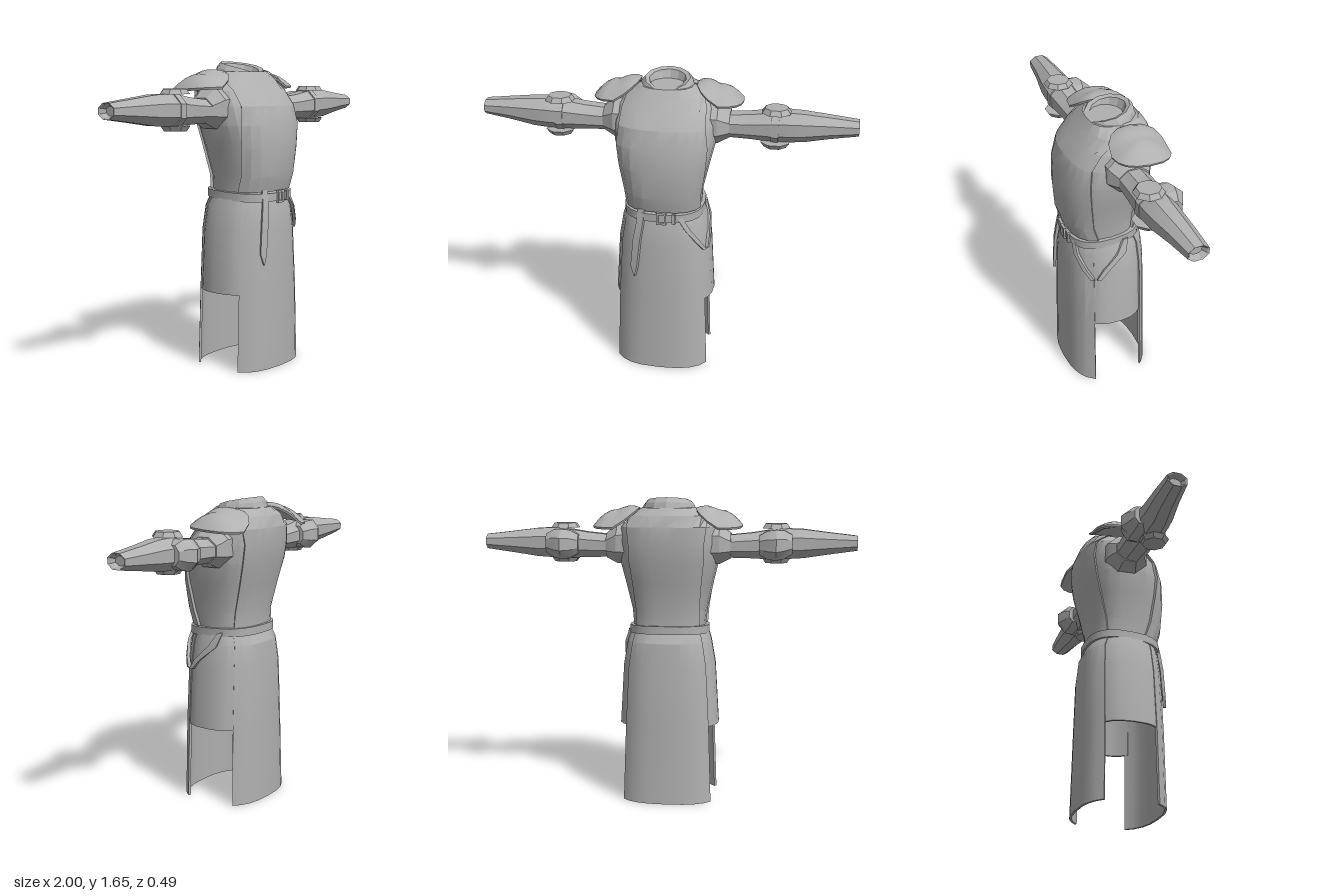
import * as THREE from 'three';
import { toCreasedNormals } from 'three/addons/utils/BufferGeometryUtils.js';

const V = (x, y, z) => new THREE.Vector3(x, y, z);
const rad = THREE.MathUtils.degToRad;
const spow = (v, e) => Math.sign(v) * Math.pow(Math.abs(v), e);

// Skin over a stack of closed loops (even point count), capped at both ends
function loft(rings, crease = 0.35) {
  const pos = [], n = rings[0].length;
  const tri = (...p) => p.forEach(q => pos.push(q.x, q.y, q.z));
  const quad = (a, b, c, d) => { tri(a, b, c); tri(a, c, d); };
  for (let i = 0; i + 1 < rings.length; i++)
    for (let j = 0; j < n; j++) {
      const k = (j + 1) % n;
      quad(rings[i][j], rings[i][k], rings[i + 1][k], rings[i + 1][j]);
    }
  const a = rings[0], b = rings[rings.length - 1];
  for (let j = 0; j < n / 2 - 1; j++) {
    quad(a[n - 1 - j], a[n - 2 - j], a[j + 1], a[j]);
    quad(b[j], b[j + 1], b[n - 2 - j], b[n - 1 - j]);
  }
  const g = new THREE.BufferGeometry();
  g.setAttribute('position', new THREE.Float32BufferAttribute(pos, 3));
  return toCreasedNormals(g, crease);
}

// Linear lookup in a table whose first column is the key
function sample(table, key) {
  let i = 0;
  while (i < table.length - 2 && key > table[i + 1][0]) i++;
  const t = THREE.MathUtils.clamp((key - table[i][0]) / (table[i + 1][0] - table[i][0]), 0, 1);
  return table[i].map((v, k) => v + (table[i + 1][k] - v) * t);
}

// Point on a rounded-box body section; angle 0 is the front, 90 is +x
function onBody(table, deg, y, off = 0) {
  const [, rx, zf, zb] = sample(table, y), t = rad(deg);
  return V((rx + off) * spow(Math.sin(t), 0.75), y,
    (zf + zb) / 2 + ((zf - zb) / 2 + off) * spow(Math.cos(t), 0.75));
}

// Body tables: y, half width, front z, back z
const TORSO = [[0.965, 0.208, 0.212, -0.16], [1.05, 0.216, 0.238, -0.162], [1.2, 0.25, 0.246, -0.195],
  [1.32, 0.279, 0.237, -0.223], [1.42, 0.282, 0.207, -0.236], [1.5, 0.265, 0.148, -0.236],
  [1.56, 0.21, 0.105, -0.215], [1.6, 0.14, 0.08, -0.18]];
const SKIRT = [[0, 0.282, 0.242, -0.222], [0.42, 0.266, 0.238, -0.214], [0.75, 0.246, 0.23, -0.208],
  [0.88, 0.223, 0.22, -0.195], [0.95, 0.202, 0.2, -0.16]];
// The side skirts stand wider but tuck in behind the long panels
const SIDE = SKIRT.map(([y, rx, zf, zb]) => [y, rx + 0.008, zf - 0.024, zb + 0.024]);
// Half angle covered at each height by the chest panel and the back panel
const SPREAD = [[0.965, 72, 50], [1.05, 69, 46], [1.2, 62, 41], [1.32, 54, 39],
  [1.42, 48, 39], [1.5, 51, 47], [1.56, 75, 75], [1.6, 89, 89]];

const fullRing = (table, y, off, n = 24) =>
  Array.from({ length: n }, (_, i) => onBody(table, i * 360 / n, y, off));

// Thick curved cloth covering mid - half(y) .. mid + half(y) degrees
function cloth(table, ys, mid, half, off, thick, n = 8) {
  return loft(ys.map(y => {
    const h = half(y), outer = [], inner = [];
    for (let i = 0; i <= n; i++) {
      const d = mid - h + 2 * h * i / n;
      outer.push(onBody(table, d, y, off));
      inner.unshift(onBody(table, d, y, off - thick));
    }
    return [...outer, ...inner];
  }));
}

// Leather strip lying on the skirt; path rows: angle, y, half width in degrees
const strip = path => loft(path.map(([d, y, w]) => [
  onBody(SKIRT, d - w, y, 0.02), onBody(SKIRT, d + w, y, 0.02),
  onBody(SKIRT, d + w, y, 0.004), onBody(SKIRT, d - w, y, 0.004)]));

// Tube along x; rows: x, centre y, half height, centre z, half depth
const limb = (rows, n = 8) => loft(rows.map(([x, cy, ry, cz, rz]) =>
  Array.from({ length: n }, (_, i) => {
    const a = (i + 0.5) * 2 * Math.PI / n;
    return V(x, cy + ry * Math.cos(a) / Math.cos(Math.PI / n), cz + rz * Math.sin(a) / Math.cos(Math.PI / n));
  })));

function mirrored(geo) {
  const g = geo.index ? geo.toNonIndexed() : geo.clone();
  for (const name of ['position', 'normal']) {
    const a = g.attributes[name];
    for (let i = 0; i < a.count; i += 3) {
      const p = [0, 2, 1].map(k => V().fromBufferAttribute(a, i + k));
      p.forEach((q, k) => a.setXYZ(i + k, -q.x, q.y, q.z));
    }
  }
  return g;
}

// Domed shoulder plate whose inner rim climbs towards the neck
function pauldron() {
  const ring = (r, drop) => Array.from({ length: 16 }, (_, i) => {
    const t = i * Math.PI / 8;
    const u = r * spow(Math.sin(t), 0.8), v = r * spow(Math.cos(t), 0.8);
    return V(0.275 + 0.124 * u, 1.51 + 0.1 * Math.max(0, -u - 0.1) + 0.08 * (1 - r * r) + 0.01 * v - drop,
      -0.09 + 0.155 * v);
  });
  return loft([ring(0.02, 0.016), ring(0.5, 0.016), ring(0.97, 0.016), ring(1, 0),
    ring(0.8, 0), ring(0.55, 0), ring(0.28, 0), ring(0.02, 0)], 0.5);
}

// Standing collar, dipping at the front, with a closed bowl inside
function collar() {
  const ring = (rx, zf, zb, yf, yb) => Array.from({ length: 12 }, (_, i) => {
    const t = i * Math.PI / 6;
    return V(rx * spow(Math.sin(t), 1.1), yf + (yb - yf) * Math.pow((1 - Math.cos(t)) / 2, 0.5),
      (zf + zb) / 2 + (zf - zb) / 2 * Math.cos(t));
  });
  return loft([ring(0.15, 0.112, -0.185, 1.535, 1.59), ring(0.138, 0.1, -0.172, 1.565, 1.63),
    ring(0.12, 0.088, -0.15, 1.582, 1.655), ring(0.098, 0.062, -0.13, 1.58, 1.645),
    ring(0.08, 0.04, -0.11, 1.54, 1.59), ring(0.02, 0, -0.06, 1.5, 1.52)]);
}

export function createModel() {
  const model = new THREE.Group();
  const grey = new THREE.MeshStandardMaterial({ color: 0xb0b0b0, side: THREE.DoubleSide });
  grey.name = 'plainGrey';
  const add = (name, geo) => {
    const m = new THREE.Mesh(geo, grey);
    m.name = name;
    model.add(m);
  };
  const addPair = (name, geo) => {
    add('left' + name, geo);
    add('right' + name, mirrored(geo));
  };

  // Body and the panels worn over it
  const ys = TORSO.map(r => r[0]);
  add('torso', loft(ys.map(y => fullRing(TORSO, y, -0.01))));
  add('chestPanel', cloth(TORSO, ys, 0, y => sample(SPREAD, y)[1], 0.003, 0.02));
  add('backPanel', cloth(TORSO, ys, 180, y => sample(SPREAD, y)[2], 0.003, 0.02));
  add('collar', collar());

  // Skirt
  const longYs = SKIRT.map(r => r[0]);
  add('frontSkirt', cloth(SKIRT, longYs, 0, () => 61, 0, 0.012));
  add('backSkirt', cloth(SKIRT, longYs, 180, () => 54, 0, 0.012));
  addPair('SideSkirt', cloth(SIDE, longYs.slice(1), 92, () => 42, 0, 0.012, 6));

  // Belt, sitting a little lower at the front
  const tilt = ring => ring.map(p => V(p.x, p.y - 0.04 * p.z, p.z));
  const BELT = [[0.9, 0.203, 0.212, -0.168], [1, 0.203, 0.212, -0.168]];
  add('belt', loft([[0.922, -0.012], [0.922, 0.014], [0.966, 0.014], [0.966, -0.012]]
    .map(([y, o]) => tilt(fullRing(BELT, y, o)))));
  const frame = new THREE.Shape([[-0.026, -0.034], [0.026, -0.034], [0.026, 0.034], [-0.026, 0.034]]
    .map(p => new THREE.Vector2(...p)));
  frame.holes.push(new THREE.Path([[-0.015, -0.022], [-0.015, 0.022], [0.015, 0.022], [0.015, -0.022]]
    .map(p => new THREE.Vector2(...p))));
  add('buckle', new THREE.ExtrudeGeometry(frame, { depth: 0.014, bevelEnabled: false })
    .translate(0.01, 0.936, 0.22));
  add('beltLoop', new THREE.BoxGeometry(0.018, 0.056, 0.016).translate(0.075, 0.936, 0.222));

  // Hanging straps
  add('beltTail', strip([[-24, 0.58, 0.4], [-25, 0.64, 4.5], [-23, 0.8, 5], [-21, 0.9, 5], [-21, 0.975, 5]]));
  add('frontHanger', strip([[60, 0.735, 3], [48, 0.79, 4], [32, 0.87, 4], [21, 0.945, 4]]));
  add('sideHanger', strip([[69, 0.735, 3], [79, 0.79, 4], [94, 0.87, 4], [104, 0.945, 4]]));

  // Arms, with a shallow hollow at the wrist
  addPair('Sleeve', limb([[0.2, 1.4, 0.08, -0.035, 0.08], [0.32, 1.395, 0.06, -0.03, 0.078],
    [0.45, 1.4, 0.068, -0.025, 0.08], [0.54, 1.405, 0.078, -0.022, 0.085],
    [0.64, 1.41, 0.08, -0.02, 0.085], [0.72, 1.411, 0.076, -0.02, 0.078],
    [0.85, 1.413, 0.058, -0.03, 0.066], [1, 1.415, 0.039, -0.035, 0.054],
    [0.995, 1.415, 0.033, -0.035, 0.046], [0.97, 1.415, 0.022, -0.035, 0.03]]));
  addPair('ShoulderCuff', limb([[0.2, 1.41, 0.11, -0.03, 0.115], [0.275, 1.41, 0.108, -0.03, 0.115],
    [0.305, 1.403, 0.086, -0.033, 0.1], [0.335, 1.398, 0.066, -0.033, 0.082]]));
  addPair('ElbowGuard', limb([[0.485, 1.405, 0.05, -0.09, 0.04], [0.53, 1.405, 0.075, -0.09, 0.066],
    [0.575, 1.405, 0.08, -0.09, 0.086], [0.615, 1.408, 0.075, -0.09, 0.066], [0.66, 1.41, 0.05, -0.09, 0.04]]));
  addPair('ElbowBand', limb([[0.553, 1.405, 0.088, -0.022, 0.09], [0.592, 1.405, 0.088, -0.022, 0.09]]));
  const pad = (top, bottom, y) => toCreasedNormals(
    new THREE.CylinderGeometry(top, bottom, 0.026, 8).rotateY(Math.PI / 8).translate(0.575, y, 0.008), 0.35);
  addPair('UpperElbowPad', pad(0.062, 0.08, 1.502));
  addPair('LowerElbowPad', pad(0.08, 0.062, 1.318));
  addPair('Pauldron', pauldron());

  return model;
}
